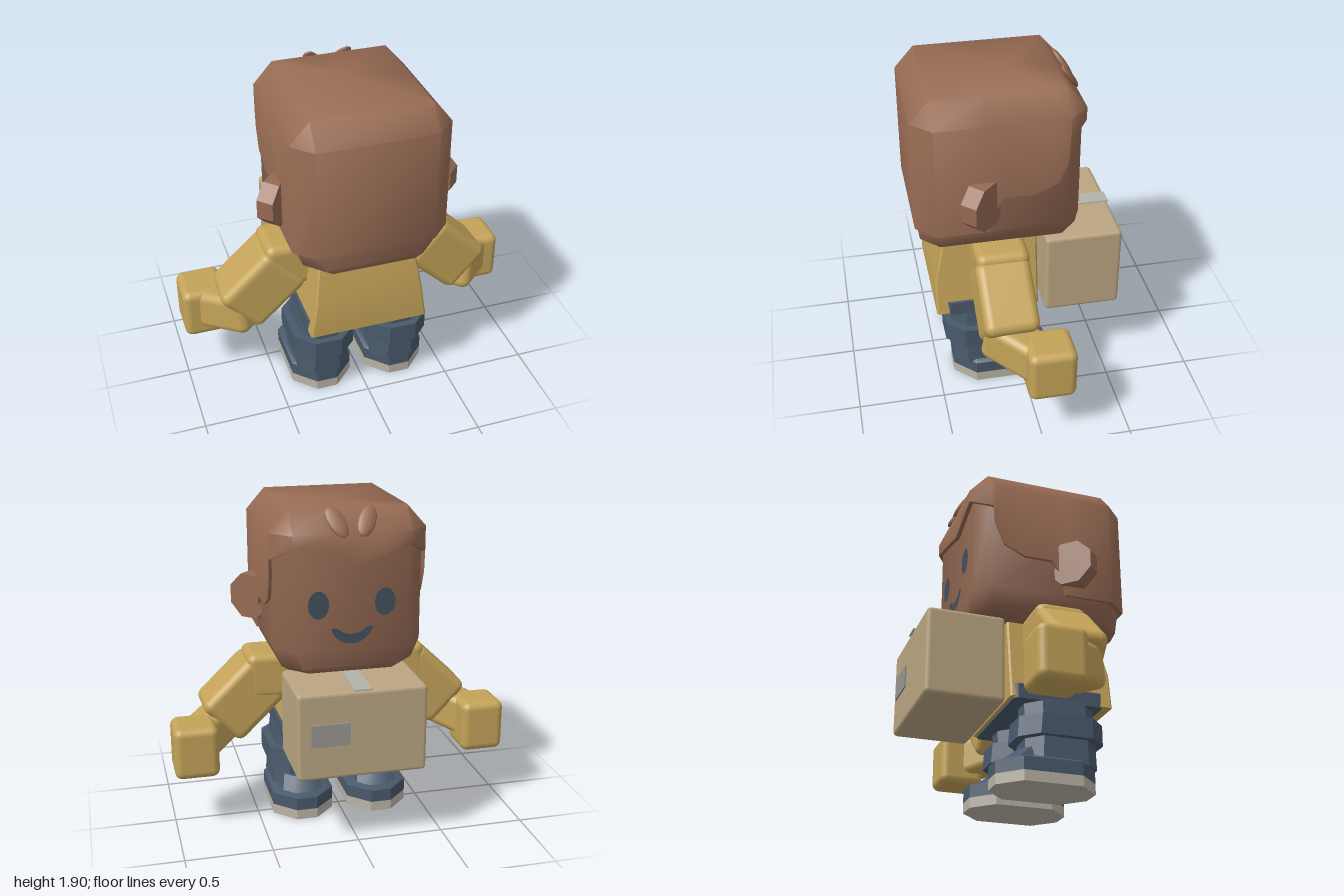
import * as THREE from 'three';
import { toCreasedNormals } from 'three/addons/utils/BufferGeometryUtils.js';
import { RoundedBoxGeometry } from 'three/addons/geometries/RoundedBoxGeometry.js';

const mat = (name, color) => {
  const m = new THREE.MeshStandardMaterial({ color, side: THREE.DoubleSide });
  m.name = name;
  return m;
};

// Chamfered rectangle in plan, counter-clockwise seen from above
const ring = (y, x0, x1, z0, z1, c) => [
  [x1, z1 - c], [x1, z0 + c], [x1 - c, z0], [x0 + c, z0],
  [x0, z0 + c], [x0, z1 - c], [x0 + c, z1], [x1 - c, z1],
].map(([x, z]) => [x, y, z]);

// Skin a stack of rings, bottom to top, with optional end caps
function loft(rings, crease = 0.6, capBottom = true) {
  const n = rings[0].length, pos = rings.flat(2), idx = [];
  for (let i = 0; i < rings.length - 1; i++) {
    for (let j = 0; j < n; j++) {
      const a = i * n + j, b = i * n + (j + 1) % n;
      idx.push(a, b, b + n, a, b + n, a + n);
    }
  }
  const cap = (r, flip) => {
    const base = r * n, c = pos.length / 3;
    const mid = [0, 1, 2].map(k => rings[r].reduce((s, p) => s + p[k], 0) / n);
    pos.push(...mid);
    for (let j = 0; j < n; j++) {
      const a = base + j, b = base + (j + 1) % n;
      idx.push(c, flip ? b : a, flip ? a : b);
    }
  };
  cap(rings.length - 1, false);
  if (capBottom) cap(0, true);
  const g = new THREE.BufferGeometry();
  g.setAttribute('position', new THREE.Float32BufferAttribute(pos, 3));
  g.setIndex(idx);
  return toCreasedNormals(g, crease);
}

export function createModel() {
  const model = new THREE.Group();
  model.name = 'boxCarrier';
  const hair = mat('hair brown', 0x976b53);
  const skin = mat('skin brown', 0x946a53);
  const gold = mat('shirt gold', 0xc4a359);
  const denim = mat('denim blue', 0x49596b);
  const sole = mat('sole grey', 0xbab3a5);
  const card = mat('cardboard', 0xbba581);
  const tapeMat = mat('tape grey', 0xb4b3ab);
  const labelMat = mat('label grey', 0x999792);
  const ink = mat('face ink', 0x43505e);

  const add = (name, geo, m, x = 0, y = 0, z = 0) => {
    const mesh = new THREE.Mesh(geo, m);
    mesh.name = name;
    mesh.position.set(x, y, z);
    model.add(mesh);
    return mesh;
  };

  // Head
  add('head', loft([
    ring(0.97, -0.34, 0.34, -0.3, 0.56, 0.1),
    ring(1.0, -0.38, 0.38, -0.32, 0.57, 0.1),
    ring(1.11, -0.425, 0.425, -0.325, 0.57, 0.1),
    ring(1.74, -0.425, 0.425, -0.325, 0.57, 0.1),
  ], 0.9), skin);

  // Hair cap: plan outline [x, z, hem height], side hem mirrored
  const side = [[0.445, 0.49, 1.11], [0.445, 0.2, 1.11], [0.445, 0.19, 1.2], [0.445, 0.12, 1.32],
    [0.445, -0.05, 1.32], [0.445, -0.18, 1.38], [0.445, -0.23, 1.5], [0.445, -0.24, 1.62], [0.335, -0.35, 1.69]];
  const hem = [...side, [0.1, -0.35, 1.64], [-0.06, -0.35, 1.6], [-0.2, -0.35, 1.65],
    ...side.map(([x, z, y]) => [-x, z, y]).reverse(), [-0.335, 0.6, 1.11], [0.335, 0.6, 1.11]];
  const clamp = THREE.MathUtils.clamp;
  add('hair', loft([
    hem.map(([x, z, y]) => [x * 0.9, y, 0.12 + (z - 0.12) * 0.9]),
    hem.map(([x, z, y]) => [x, y, z]),
    hem.map(([x, z]) => [x, 1.765, z]),
    hem.map(([x, z]) => [clamp(x, -0.335, 0.335), 1.89, clamp(z, -0.24, 0.49)]),
  ], 0.9, false), hair);

  // Tufts, ears and eyes
  for (const s of [1, -1]) {
    const tuft = add('hairTuft', new THREE.SphereGeometry(1, 10, 8), hair, s * 0.085, 1.825, -0.315);
    tuft.scale.set(0.05, 0.1, 0.02);
    tuft.rotation.set(0.6, 0, -s * 0.4);

    const earGeo = new THREE.CylinderGeometry(0.141, 0.141, 0.1, 8).rotateY(Math.PI / 8).rotateX(Math.PI / 2);
    const ear = add('ear', toCreasedNormals(earGeo, 0.5), skin, s * 0.455, 1.3, 0.24);
    ear.rotation.y = -s * Math.PI / 4;

    const eye = add('eye', new THREE.CircleGeometry(1, 16), ink, s * 0.19, 1.37, -0.33);
    eye.scale.set(0.06, 0.08, 1);
    eye.rotation.y = Math.PI;
  }

  // Mouth: a flat smiling crescent
  const smile = new THREE.Shape();
  smile.moveTo(-0.12, 0.04);
  smile.quadraticCurveTo(-0.08, 0.05, -0.06, 0.02);
  smile.quadraticCurveTo(0, -0.01, 0.06, 0.02);
  smile.quadraticCurveTo(0.08, 0.05, 0.12, 0.04);
  smile.quadraticCurveTo(0.09, -0.05, 0, -0.05);
  smile.quadraticCurveTo(-0.09, -0.05, -0.12, 0.04);
  add('mouth', new THREE.ShapeGeometry(smile, 6), ink, 0, 1.19, -0.33).rotation.y = Math.PI;

  // Torso and hips
  add('shirt', loft([
    ring(0.495, -0.35, 0.35, -0.1, 0.5, 0.01),
    ring(0.71, -0.318, 0.318, -0.1, 0.5, 0.01),
    ring(0.98, -0.28, 0.28, -0.1, 0.44, 0.01),
  ], 0.4), gold);
  add('pocket', new THREE.BoxGeometry(0.14, 0.1, 0.03), gold, 0, 0.78, -0.11);
  add('hips', loft([
    ring(0.485, -0.355, 0.355, -0.08, 0.44, 0.02),
    ring(0.57, -0.355, 0.355, -0.08, 0.44, 0.02),
  ]), denim);

  // Rounded limb section running from a to b
  const limb = (name, a, b, w, h, r) => {
    const A = new THREE.Vector3(...a), B = new THREE.Vector3(...b);
    const m = add(name, new RoundedBoxGeometry(w, h, A.distanceTo(B), 3, r), gold);
    m.position.copy(A).lerp(B, 0.5);
    m.lookAt(B);
  };

  for (const s of [1, -1]) {
    // Arms
    add('shoulder', new RoundedBoxGeometry(0.29, 0.28, 0.3, 3, 0.05), gold, s * 0.395, 0.86, 0.14);
    limb('upperArm', [s * 0.41, 0.86, 0.15], [s * 0.71, 0.575, 0.14], 0.31, 0.33, 0.05);
    limb('forearm', [s * 0.63, 0.57, 0.24], [s * 0.9, 0.485, -0.06], 0.21, 0.24, 0.05);
    add('hand', new RoundedBoxGeometry(0.26, 0.31, 0.27, 3, 0.045), gold, s * 0.87, 0.485, -0.045);

    // Legs and shoes, given by height, half width, front and back
    const r = (y, w, z0, z1, c) => ring(y, s * 0.23 - w, s * 0.23 + w, z0, z1, c);
    add('upperLeg', loft([r(0.38, 0.14, 0, 0.41, 0.08), r(0.5, 0.125, 0, 0.41, 0.08)]), denim);
    add('trouserCuff', loft([r(0.275, 0.18, -0.05, 0.45, 0.1), r(0.395, 0.18, -0.04, 0.45, 0.1)]), denim);
    add('lowerLeg', loft([r(0.13, 0.16, -0.01, 0.41, 0.08), r(0.3, 0.145, 0, 0.41, 0.08)]), denim);
    add('shoe', loft([
      r(0.06, 0.182, -0.17, 0.405, 0.12),
      r(0.135, 0.182, -0.17, 0.405, 0.12),
      r(0.15, 0.16, -0.13, 0.39, 0.11),
    ]), denim);
    add('shoeTongue', loft([
      r(0.13, 0.13, -0.15, 0.3, 0.07),
      r(0.22, 0.1, -0.03, 0.3, 0.05),
    ]), denim);
    add('shoeSole', loft([
      r(0, 0.182, -0.17, 0.405, 0.12),
      r(0.06, 0.182, -0.17, 0.405, 0.12),
    ]), sole);
  }

  // Carried box with tape and label
  add('carton', new RoundedBoxGeometry(0.74, 0.51, 0.45, 1, 0.025), card, 0, 0.697, -0.362);
  add('tape', new THREE.BoxGeometry(0.1, 0.009, 0.45), tapeMat, 0, 0.955, -0.362);
  add('label', new THREE.BoxGeometry(0.22, 0.13, 0.009), labelMat, 0.185, 0.71, -0.592);

  return model;
}
